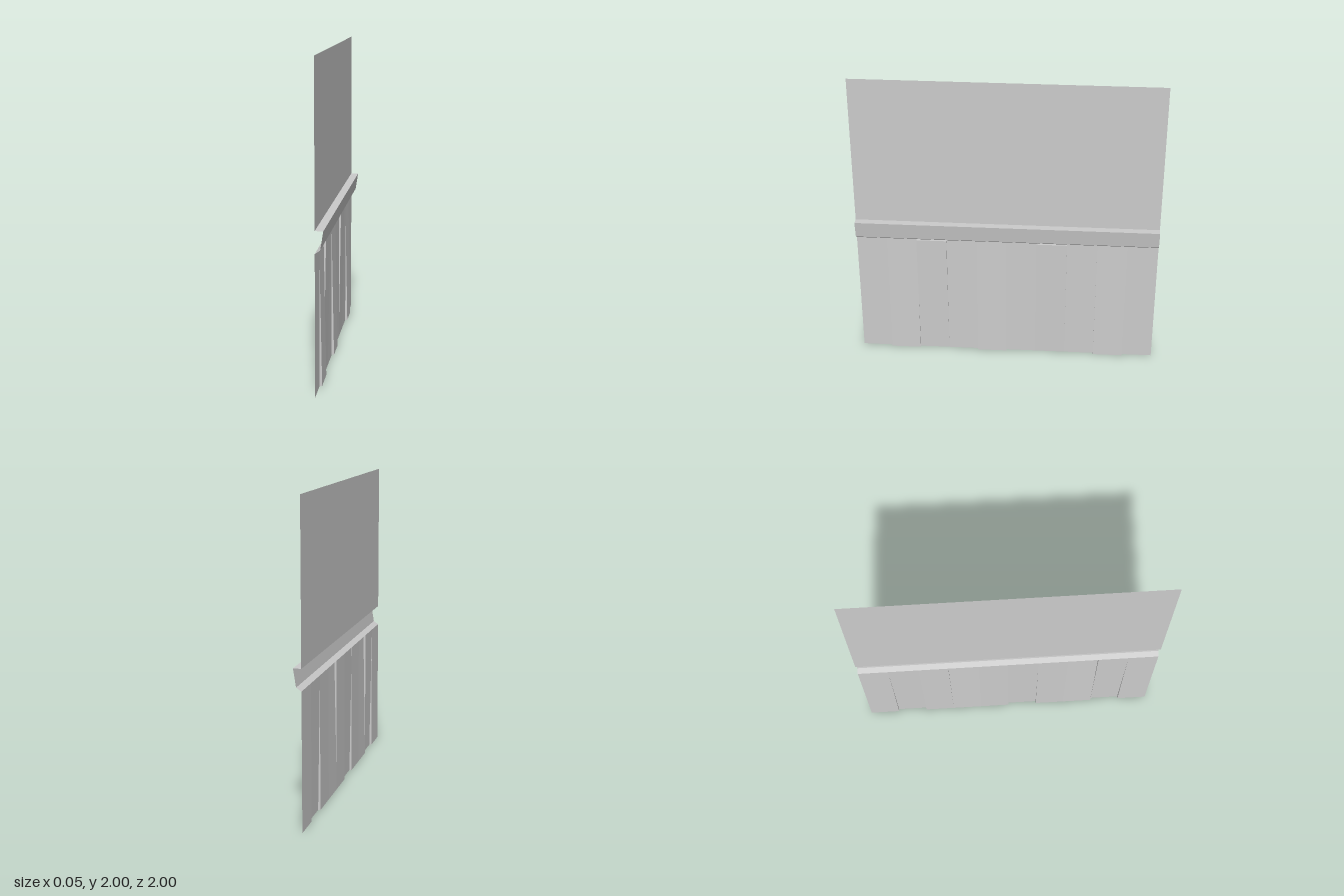
import * as THREE from 'three';

const BACK = -0.025;   // plane of the wall sheet
const STEP = 0.015;    // how far a warped plank leans out
const PLANK_TOP = 0.865;

const material = new THREE.MeshStandardMaterial({
  color: 0xcccccc, flatShading: true, side: THREE.DoubleSide,
});

// Mesh from a list of four-cornered faces
function quadMesh(name, quads) {
  const points = [];
  for (const [a, b, c, d] of quads) points.push(...a, ...b, ...c, ...a, ...c, ...d);
  const geometry = new THREE.BufferGeometry();
  geometry.setAttribute('position', new THREE.Float32BufferAttribute(points, 3));
  geometry.computeVertexNormals();
  const mesh = new THREE.Mesh(geometry, material);
  mesh.name = name;
  return mesh;
}

// Sheet running the whole length, from an [x, y] profile listed top to bottom
function strip(name, profile) {
  const quads = [];
  for (let i = 0; i < profile.length - 1; i++) {
    const [x1, y1] = profile[i], [x0, y0] = profile[i + 1];
    quads.push([[x0, y0, 1], [x0, y0, -1], [x1, y1, -1], [x1, y1, 1]]);
  }
  return quadMesh(name, quads);
}

export function createModel() {
  const wall = new THREE.Group();
  wall.name = 'wallPanel';

  // Plain upper wall
  wall.add(strip('upperWall', [[BACK, 2], [BACK, 1]]));

  // Rail: flat ledge, inward-leaning face, undercut back to the wall
  wall.add(strip('chairRail', [[BACK, 1], [0.025, 1], [0.007, 0.887], [BACK, PLANK_TOP]]));

  // Planks from +z to -z: [lean at top, lean at bottom] in steps
  const leans = [[0, 0], [0, 1], [1, 0], [0, 0], [0, 1], [0, 0], [1, 0], [0, 0], [0, 1], [0, 0]];
  const planks = new THREE.Group();
  planks.name = 'planks';
  leans.forEach(([top, bottom], i) => {
    const z0 = 1 - i * 0.2, z1 = z0 - 0.2;
    const xt = BACK + top * STEP, xb = BACK + bottom * STEP;
    const quads = [[[xb, 0, z0], [xb, 0, z1], [xt, PLANK_TOP, z1], [xt, PLANK_TOP, z0]]];
    // Cap over a plank that leans out at the top
    if (top) {
      quads.push([[xt, PLANK_TOP, z0], [xt, PLANK_TOP, z1],
        [BACK, PLANK_TOP, z1], [BACK, PLANK_TOP, z0]]);
    }
    // Narrow sides joining a leaning plank to the wall plane
    if (top || bottom) {
      quads.push([[BACK, 0, z0], [xb, 0, z0], [xt, PLANK_TOP, z0], [BACK, PLANK_TOP, z0]]);
      quads.push([[xb, 0, z1], [BACK, 0, z1], [BACK, PLANK_TOP, z1], [xt, PLANK_TOP, z1]]);
    }
    planks.add(quadMesh('plank' + (i + 1), quads));
  });
  wall.add(planks);
  return wall;
}
